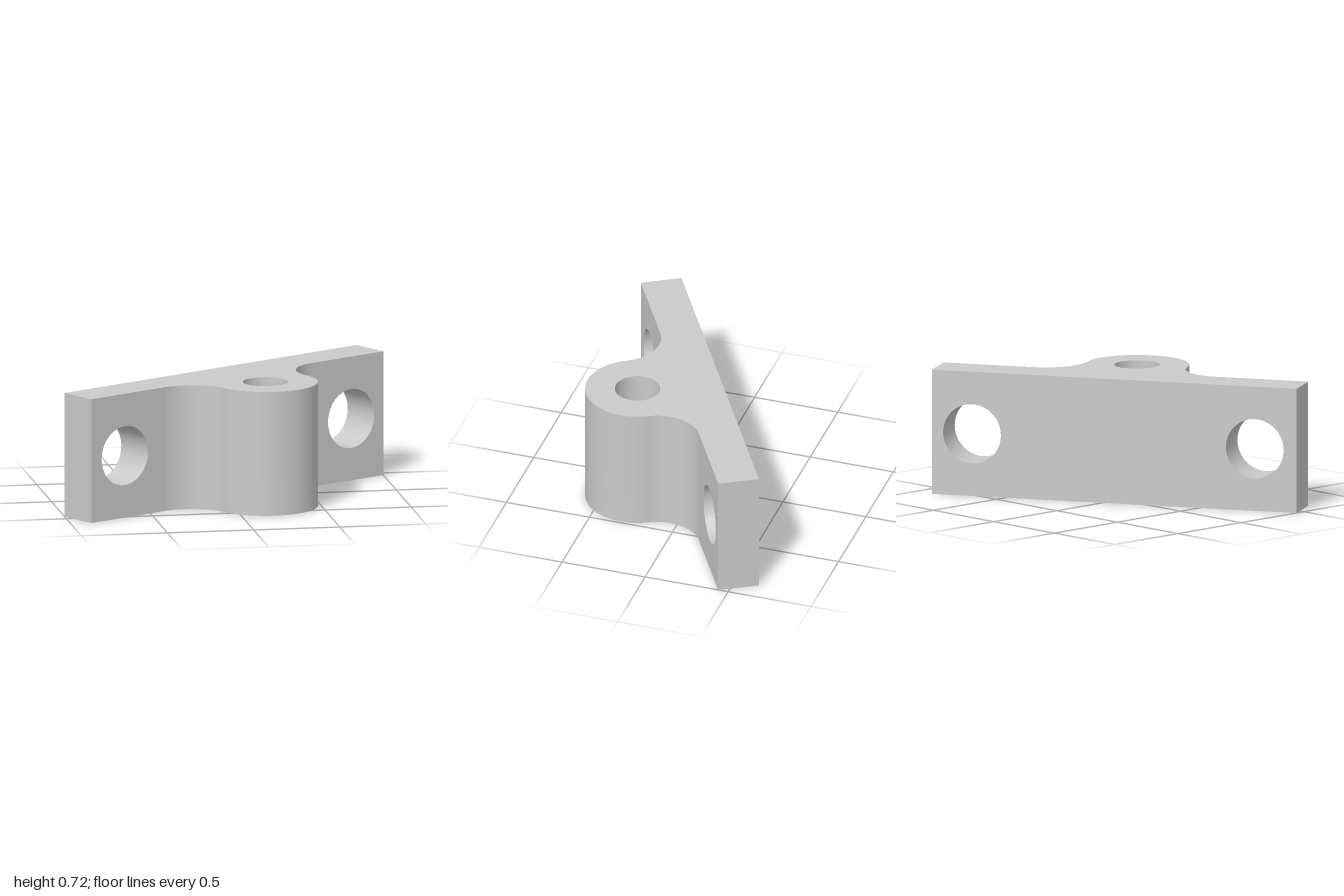
import * as THREE from 'three';
import { toCreasedNormals } from 'three/addons/utils/BufferGeometryUtils.js';

const H = 0.722;          // height
const T = 0.119;          // half thickness of the plate
const L = 1.086;          // half length of the plate
const R = 0.3;            // boss radius
const F = 0.246;          // fillet radius
const S = R + F;          // where fillets meet the plate, from the boss centre
const B = T + F;          // boss centre, out from the plate's middle
const C = 0.005;          // shift of boss and holes along the plate
const JOINTS = [C - S, C + S];
const segments = 24;

// Extrude with smooth curves, dropping the hidden faces at the joints
function extrude(shape, depth) {
  const geometry = new THREE.ExtrudeGeometry(shape, { depth, bevelEnabled: false, curveSegments: segments });
  const p = geometry.attributes.position;
  const kept = [];
  for (let i = 0; i < p.count; i += 3) {
    const corners = [i, i + 1, i + 2];
    const hidden = JOINTS.some((x) => corners.every((k) => Math.abs(p.getX(k) - x) < 1e-5));
    if (hidden) continue;
    for (const k of corners) kept.push(p.getX(k), p.getY(k), p.getZ(k));
  }
  const open = new THREE.BufferGeometry();
  open.setAttribute('position', new THREE.Float32BufferAttribute(kept, 3));
  return toCreasedNormals(open, 0.6);
}

function hole(x, y, r) {
  return new THREE.Path().absarc(x, y, r, 0, Math.PI * 2, true);
}

export function createModel() {
  const model = new THREE.Group();
  model.name = 'mountingBracket';
  const metal = new THREE.MeshStandardMaterial({ color: 0xcacaca });
  metal.name = 'grey metal';

  // Everything is built along x, then turned
  const bracket = new THREE.Group();
  bracket.name = 'bracket';
  bracket.rotation.y = Math.PI / 6;
  model.add(bracket);

  // Middle of the plate with filleted boss and vertical bore
  const plan = new THREE.Shape();
  plan.moveTo(C - S, -T);
  plan.lineTo(C + S, -T);
  plan.lineTo(C + S, T);
  plan.absarc(C + S, B, F, -Math.PI / 2, -Math.PI, true);
  plan.absarc(C, B, R, 0, Math.PI, false);
  plan.absarc(C - S, B, F, 0, -Math.PI / 2, true);
  plan.closePath();
  plan.holes.push(hole(C, B, 0.13));
  const boss = new THREE.Mesh(extrude(plan, H).rotateX(Math.PI / 2).translate(0, H, 0), metal);
  boss.name = 'boss';
  bracket.add(boss);

  // Plate ends, each with a bolt hole through the thickness
  for (const side of [-1, 1]) {
    const [x0, x1] = side > 0 ? [C + S, L] : [-L, C - S];
    const face = new THREE.Shape();
    face.moveTo(x0, 0);
    face.lineTo(x1, 0);
    face.lineTo(x1, H);
    face.lineTo(x0, H);
    face.closePath();
    face.holes.push(hole(C + side * 0.842, H / 2, 0.172));
    const end = new THREE.Mesh(extrude(face, 2 * T).translate(0, 0, -T), metal);
    end.name = side > 0 ? 'leftPlateEnd' : 'rightPlateEnd';
    bracket.add(end);
  }
  return model;
}
